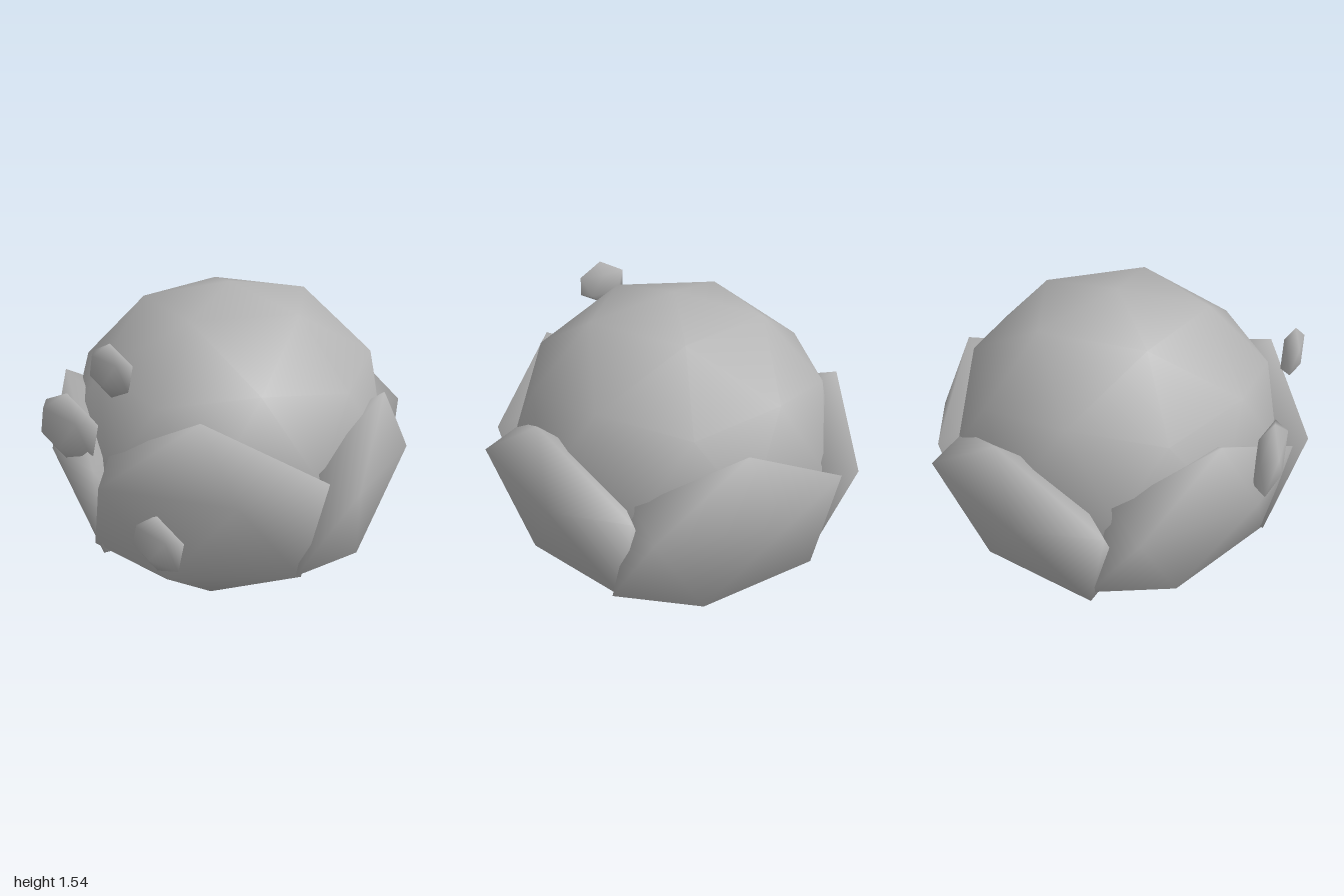
import * as THREE from 'three';
import { mergeVertices } from 'three/addons/utils/BufferGeometryUtils.js';

// Pole-up icosahedron: one pole, two staggered rings of five, one pole
function icosphere(detail) {
  const ring = (k, offset, y) => {
    const a = (k * 72 + offset) * Math.PI / 180, r = 2 / Math.sqrt(5);
    return [r * Math.cos(a), y, -r * Math.sin(a)];
  };
  const points = [0, 1, 0], faces = [];
  for (let i = 0; i < 5; i++) points.push(...ring(i, 0, 1 / Math.sqrt(5)));
  for (let i = 0; i < 5; i++) points.push(...ring(i, 36, -1 / Math.sqrt(5)));
  points.push(0, -1, 0);
  for (let i = 0; i < 5; i++) {
    const j = (i + 1) % 5;
    faces.push(0, 1 + i, 1 + j, 1 + i, 6 + i, 1 + j, 6 + i, 6 + j, 1 + j, 11, 6 + j, 6 + i);
  }
  const g = new THREE.PolyhedronGeometry(points, faces, 1, detail);
  g.deleteAttribute('uv');
  g.deleteAttribute('normal');
  const merged = mergeVertices(g, 1e-4);
  merged.setAttribute('normal', merged.attributes.position.clone()); // smooth shading
  return merged;
}

export function createModel() {
  const group = new THREE.Group();
  const grey = new THREE.MeshStandardMaterial({ color: 0xb3b3b3 });
  grey.name = 'grey';
  const add = (name, geometry) => {
    const mesh = new THREE.Mesh(geometry, grey);
    mesh.name = name;
    group.add(mesh);
  };

  // Round body with slightly flattened poles
  const body = icosphere(1);
  const p = body.attributes.position;
  for (let i = 0; i < p.count; i++) p.setY(i, THREE.MathUtils.clamp(p.getY(i), -0.963, 0.963));
  body.scale(0.855, 0.8, 0.875).translate(0, 0.78, -0.01);
  add('body', body);

  // Five flattened, overlapping shell plates around the lower half, leaning outward at the top
  const n = new THREE.Vector3(0.56, -0.278, 0.78).normalize();
  const v = new THREE.Vector3(0.17, 0.96, 0.22);
  v.addScaledVector(n, -v.dot(n)).normalize();
  const u = new THREE.Vector3().crossVectors(v, n);
  // name, turn in degrees, outward push, centre height, half height
  const plates = [
    ['plateFrontLeft', 0, 0, 0.575, 0.58],
    ['plateLeft', 73, 0, 0.55, 0.56],
    ['plateBack', 144, 0.045, 0.55, 0.56],
    ['plateRight', 214, 0.02, 0.55, 0.56],
    ['plateFrontRight', -72, 0, 0.575, 0.575],
  ];
  for (const [name, turn, push, y, half] of plates) {
    const out = 1 + push / 0.69;
    const basis = new THREE.Matrix4().makeBasis(u, v, n)
      .scale(new THREE.Vector3(0.65, half, 0.23))
      .setPosition(0.38 * out, y, 0.58 * out);
    const spin = new THREE.Matrix4().makeRotationY(THREE.MathUtils.degToRad(turn));
    add(name, icosphere(0).applyMatrix4(spin.multiply(basis)));
  }

  // Three small flat chips at the front: x, y, half sizes
  const chips = [
    ['chipTop', 0.078, 1.32, 0.155, 0.13, 0.053],
    ['chipMiddle', -0.275, 0.93, 0.24, 0.19, 0.075],
    ['chipBottom', 0.34, 0.53, 0.185, 0.15, 0.06],
  ];
  for (const [name, x, y, rx, ry, rz] of chips) {
    const m = new THREE.Matrix4().makeRotationZ(-0.05)
      .scale(new THREE.Vector3(rx, ry, rz)).setPosition(x, y, 0.865);
    add(name, icosphere(0).rotateY(Math.PI / 2).applyMatrix4(m));
  }
  return group;
}
